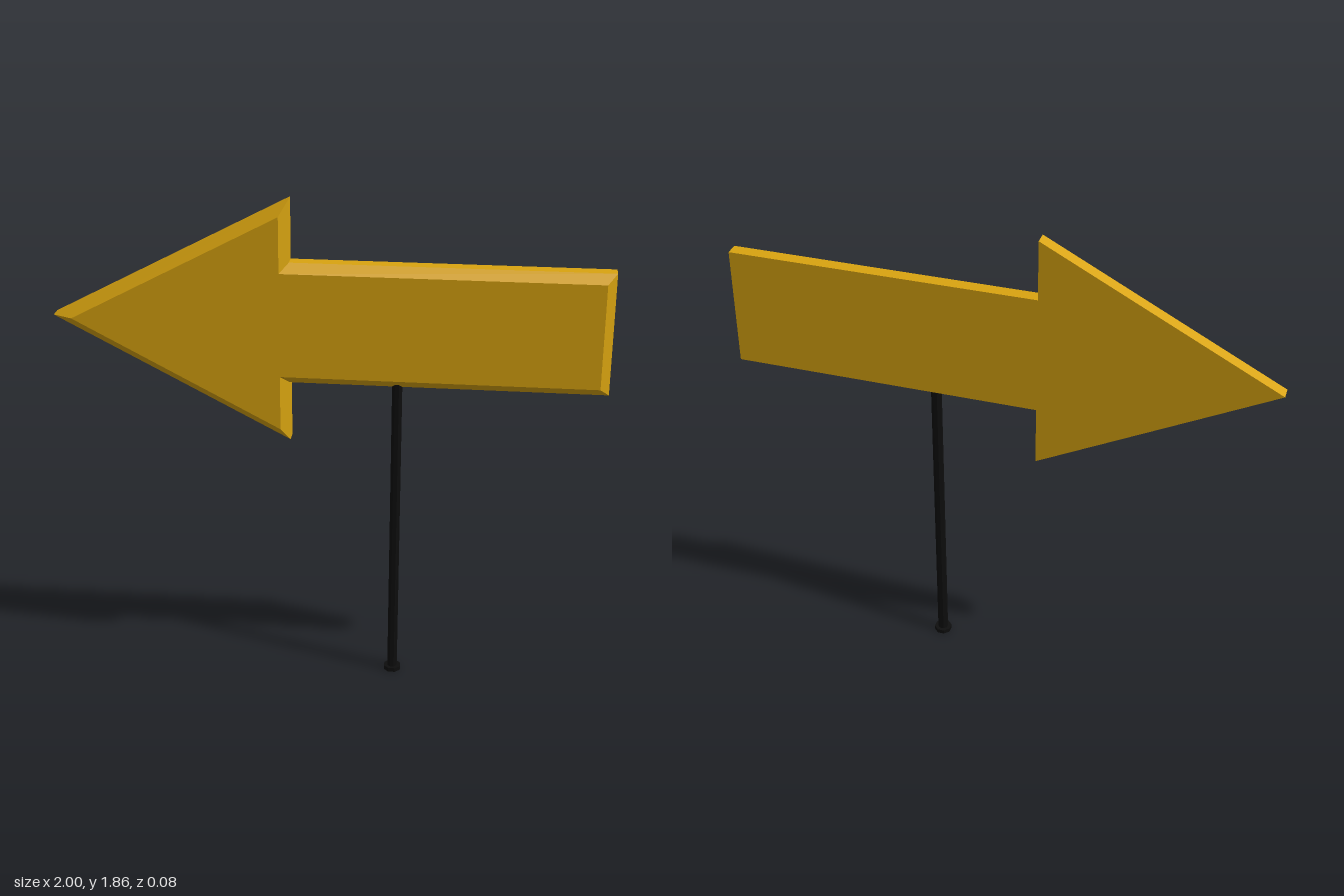
import * as THREE from 'three';

const gold = new THREE.MeshStandardMaterial({ name: 'golden yellow', color: 0xd9a410 });
const black = new THREE.MeshStandardMaterial({ name: 'black', color: 0x0d0d0d });

const MID_Y = 1.405;

// Arrow outline, counter-clockwise seen from the front, mirrored about its mid line
function arrowOutline(tipX, barbX, barbH, shaftH, endX) {
  const lower = [[barbX, -barbH], [barbX, -shaftH], [endX, -shaftH]];
  const upper = lower.map(([x, y]) => [x, -y]).reverse();
  return [[tipX, 0], ...lower, ...upper].map(([x, y]) => new THREE.Vector2(x, y + MID_Y));
}

// Joins outlines of equal point count along z, with flat caps at both ends
function loft(sections) {
  const n = sections[0].outline.length;
  const positions = [];
  const index = [];
  for (const { outline, z } of sections) {
    for (const p of outline) positions.push(p.x, p.y, z);
  }
  for (let s = 0; s < sections.length - 1; s++) {
    for (let i = 0; i < n; i++) {
      const a = s * n + i;
      const b = s * n + (i + 1) % n;
      index.push(a, b, b + n, a, b + n, a + n);
    }
  }
  const front = (sections.length - 1) * n;
  for (const [a, b, c] of THREE.ShapeUtils.triangulateShape(sections[0].outline, [])) {
    index.push(c, b, a);
  }
  for (const [a, b, c] of THREE.ShapeUtils.triangulateShape(sections.at(-1).outline, [])) {
    index.push(front + a, front + b, front + c);
  }
  const indexed = new THREE.BufferGeometry();
  indexed.setAttribute('position', new THREE.Float32BufferAttribute(positions, 3));
  indexed.setIndex(index);
  const geometry = indexed.toNonIndexed();
  geometry.computeVertexNormals();
  return geometry;
}

// Eight-sided upright rod with a flat side to the front
function rod(name, width, bottom, top) {
  const radius = width / 2 / Math.cos(Math.PI / 8);
  const geometry = new THREE.CylinderGeometry(radius, radius, top - bottom, 8)
    .toNonIndexed();
  geometry.rotateY(Math.PI / 8);
  geometry.computeVertexNormals();
  const mesh = new THREE.Mesh(geometry, black);
  mesh.name = name;
  mesh.position.set(0.248, (bottom + top) / 2, 0);
  return mesh;
}

export function createModel() {
  const group = new THREE.Group();
  group.name = 'arrowSign';

  // Arrow board with a bevelled front rim
  const outer = arrowOutline(-1, -0.14, 0.45, 0.225, 1);
  const inner = arrowOutline(-0.927, -0.172, 0.397, 0.193, 0.967);
  const board = new THREE.Mesh(loft([
    { outline: outer, z: -0.042 },
    { outline: outer, z: 0.007 },
    { outline: inner, z: 0.042 },
  ]), gold);
  board.name = 'arrowBoard';
  group.add(board);

  // Post and foot
  group.add(rod('post', 0.036, 0.01, 1.19));
  group.add(rod('foot', 0.062, 0, 0.016));
  return group;
}
